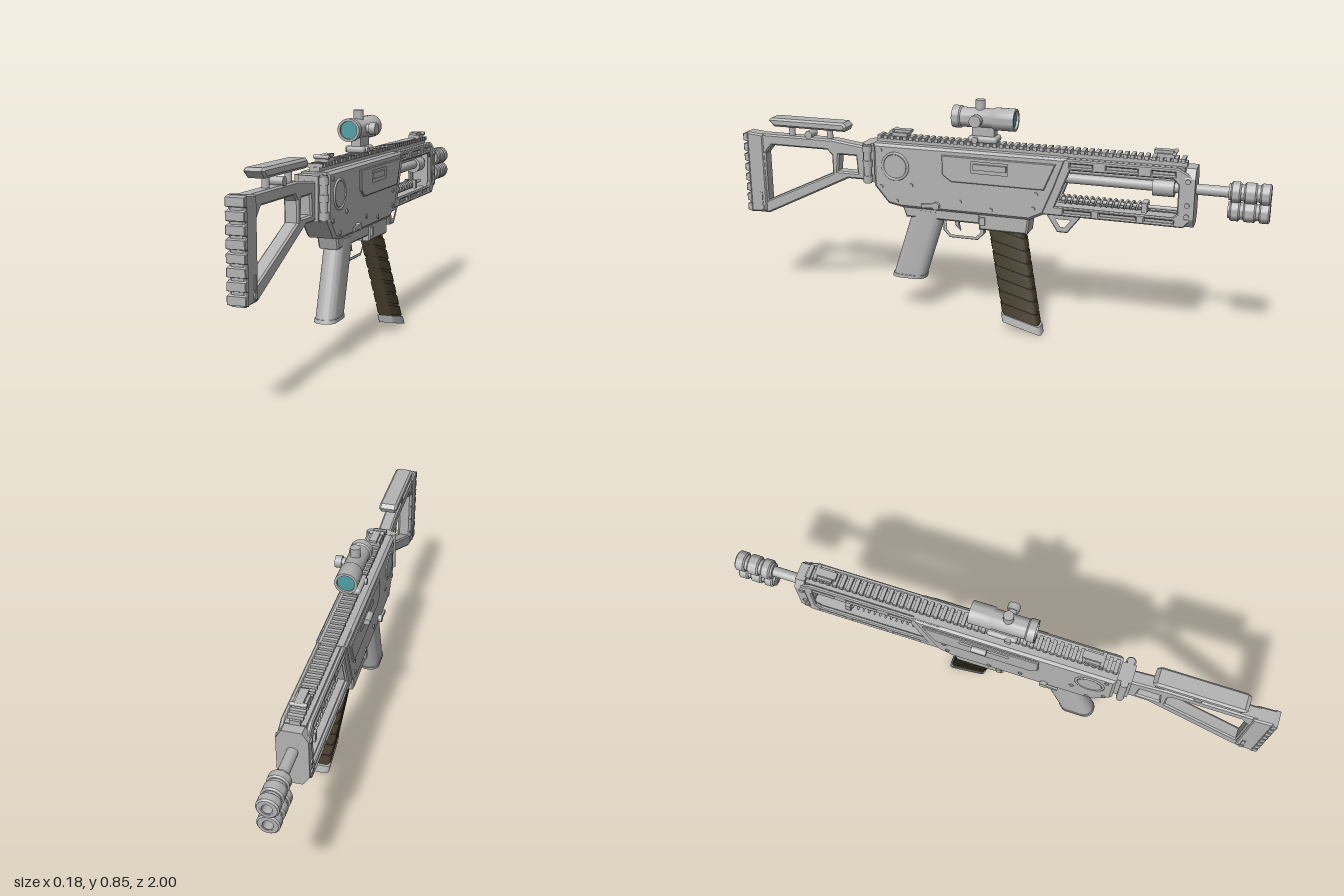
import * as THREE from 'three';
import { toCreasedNormals } from 'three/addons/utils/BufferGeometryUtils.js';
import { RoundedBoxGeometry } from 'three/addons/geometries/RoundedBoxGeometry.js';

const CX = -0.01; // centre plane of the body
const mat = (name, color) => Object.assign(new THREE.MeshStandardMaterial({ color }), { name });

export function createModel() {
  const root = new THREE.Group();
  root.name = 'carbineProp';
  const grey = mat('bodyGrey', 0xb3b3b3);
  const brown = mat('darkBrown', 0x453d2b);
  const teal = mat('lensTeal', 0x4f9fa3);

  const add = (name, geo, x = 0, y = 0, z = 0, m = grey) => {
    const mesh = new THREE.Mesh(geo, m);
    mesh.name = name;
    mesh.position.set(x, y, z);
    root.add(mesh);
    return mesh;
  };
  const box = (name, w, h, d, x, y, z) => add(name, new THREE.BoxGeometry(w, h, d), x, y, z);
  // Cylinder along a chosen axis
  const cyl = (name, axis, r, len, x, y, z, m = grey, r2 = r, n = 24) => {
    const g = new THREE.CylinderGeometry(r, r2, len, n);
    if (axis === 'x') g.rotateZ(-Math.PI / 2);
    if (axis === 'z') g.rotateX(Math.PI / 2);
    return add(name, g, x, y, z, m);
  };
  // Hollow round part along z, from a closed [radius, z] profile
  const turned = (name, pts, x, y, z) => {
    const g = new THREE.LatheGeometry(pts.map(p => new THREE.Vector2(p[0], p[1])), 28);
    return add(name, toCreasedNormals(g.rotateX(Math.PI / 2), 0.6), x, y, z);
  };
  // Side-profile plate: [z, y] outline extruded across x
  const plate = (name, pts, holes, width, x, bevel = 0.006) => {
    const v = a => a.map(p => new THREE.Vector2(p[0], p[1]));
    const shape = new THREE.Shape(v(pts));
    holes.forEach(h => shape.holes.push(new THREE.Path(v(h))));
    const g = new THREE.ExtrudeGeometry(shape, {
      depth: width - 2 * bevel, bevelEnabled: bevel > 0, bevelSize: bevel,
      bevelThickness: bevel, bevelOffset: -bevel, bevelSegments: 1,
    });
    g.translate(0, 0, bevel - width / 2).rotateY(-Math.PI / 2);
    return add(name, g, x);
  };
  const rect = (z0, y0, z1, y1) => [[z0, y0], [z1, y0], [z1, y1], [z0, y1]];
  // Rounded column from yTop to yBot, centre drifting by kx, kz per unit dropped, ends tilted by slope
  const column = (name, w, d, r, yTop, yBot, x0, z0, yRef, kx, kz, slope, m) => {
    const s = new THREE.Shape(), a = w / 2 - r, b = d / 2 - r;
    s.absarc(a, b, r, 0, Math.PI / 2);
    s.absarc(-a, b, r, Math.PI / 2, Math.PI);
    s.absarc(-a, -b, r, Math.PI, Math.PI * 1.5);
    s.absarc(a, -b, r, Math.PI * 1.5, Math.PI * 2);
    const g = new THREE.ExtrudeGeometry(s, { depth: yTop - yBot, bevelEnabled: false, curveSegments: 8 });
    g.rotateX(Math.PI / 2).translate(0, yTop, 0);
    const p = g.attributes.position;
    for (let i = 0; i < p.count; i++) {
      const drop = yRef - p.getY(i), z = p.getZ(i);
      p.setXYZ(i, p.getX(i) + x0 + drop * kx, p.getY(i) + z * slope, z + z0 + drop * kz);
    }
    return add(name, toCreasedNormals(g, 0.6), 0, 0, 0, m);
  };

  // Receiver and lower housing
  plate('receiver', [[0.44, 0.67], [0.44, 0.505], [0.385, 0.44], [0.33, 0.43], [-0.165, 0.43],
    [-0.22, 0.457], [-0.262, 0.56], [-0.3, 0.67]], [], 0.108, CX, 0.01);
  plate('lowerHousing', [[0.34, 0.45], [0.32, 0.39], [0, 0.39], [0, 0.45]], [], 0.076, CX);
  plate('magazineWell', [[0.035, 0.45], [0.03, 0.37], [-0.155, 0.37], [-0.165, 0.45]], [], 0.086, CX);

  // Skeleton handguard
  const slots = [[-0.29, -0.39], [-0.42, -0.55], [-0.58, -0.68]];
  for (const s of [-1, 1]) {
    plate('handguardSide', [[-0.2, 0.668], [-0.69, 0.668], [-0.745, 0.638], [-0.745, 0.49], [-0.715, 0.457], [-0.2, 0.457]],
      [[[-0.312, 0.628], [-0.675, 0.628], [-0.692, 0.61], [-0.692, 0.505], [-0.675, 0.49], [-0.258, 0.49]],
        ...slots.map(([a, b]) => rect(a, 0.467, b, 0.479)),
        ...slots.map(([a, b]) => rect(a - 0.02, 0.64, b, 0.652))], 0.016, CX + s * 0.043, 0.004);
  }
  box('handguardTop', 0.07, 0.035, 0.47, CX, 0.65, -0.475);
  box('handguardFloor', 0.07, 0.022, 0.47, CX, 0.47, -0.475);
  const cap = new THREE.Shape([[-0.053, 0.49], [-0.03, 0.457], [0.03, 0.457], [0.053, 0.49],
    [0.053, 0.635], [0.033, 0.668], [-0.033, 0.668], [-0.053, 0.635]].map(p => new THREE.Vector2(...p)));
  add('handguardCap', new THREE.ExtrudeGeometry(cap, { depth: 0.035, bevelEnabled: false }), CX, 0, -0.749);
  for (const s of [-1, 1]) for (const y of [0.5, 0.54, 0.625])
    cyl('capScrew', 'x', 0.009, 0.008, CX + s * 0.054, y, -0.725);

  // Barrel, gas system and return spring
  cyl('barrel', 'z', 0.019, 0.72, CX, 0.587, -0.53);
  cyl('gasBlock', 'z', 0.031, 0.075, CX, 0.583, -0.637);
  cyl('gasRod', 'z', 0.01, 0.42, CX, 0.615, -0.48);
  cyl('springGuide', 'z', 0.007, 0.42, CX, 0.508, -0.48);
  box('springStop', 0.05, 0.035, 0.02, CX, 0.508, -0.575);
  const coil = [];
  for (let i = 0; i <= 168; i++) {
    const a = i / 12 * Math.PI * 2;
    coil.push(new THREE.Vector3(Math.cos(a) * 0.015, Math.sin(a) * 0.015, -0.27 - 0.3 * i / 168));
  }
  add('returnSpring', new THREE.TubeGeometry(new THREE.CatmullRomCurve3(coil), 336, 0.004, 6), CX, 0.508, 0);

  // Twin ringed muzzle brake
  for (const y of [0.589, 0.524]) {
    turned('muzzleTube', [[0.017, -0.07], [0.029, -0.07], [0.029, 0.07], [0.017, 0.07], [0.017, -0.07]], CX, y, -0.929);
    for (const [z, len] of [[-0.982, 0.036], [-0.932, 0.042], [-0.883, 0.034]]) {
      const h = len / 2;
      turned('muzzleRing', [[0.021, -h], [0.032, -h], [0.037, 0.005 - h], [0.037, h - 0.005], [0.032, h], [0.021, h], [0.021, -h]], CX, y, z);
    }
    cyl('muzzlePlug', 'z', 0.018, 0.1, CX, y, -0.91);
  }

  // Toothed top rail and folded sights
  box('railBase', 0.036, 0.02, 1.15, CX, 0.674, -0.14);
  for (let i = 0; i < 46; i++) box('railTooth', 0.052, 0.014, 0.014, CX, 0.689, 0.425 - i * 0.025);
  for (const [z, s] of [[0.345, 1], [-0.64, -1]]) {
    box('sightBase', 0.046, 0.014, 0.06, CX, 0.702, z);
    box('sightLeaf', 0.028, 0.01, 0.075, CX, 0.714, z - s * 0.005);
    cyl('sightPin', 'x', 0.007, 0.056, CX, 0.712, z + s * 0.03);
  }

  // Optic: mount, hollow tube, lenses and turrets
  const SY = 0.783, SZ = 0.018;
  add('opticClamp', new RoundedBoxGeometry(0.07, 0.024, 0.11, 2, 0.01), CX, 0.708, 0.02);
  box('opticPost', 0.038, 0.045, 0.085, CX, 0.735, 0.02);
  turned('opticTube', [[0.032, -0.117], [0.041, -0.117], [0.041, -0.04], [0.036, -0.032], [0.036, 0.085],
    [0.041, 0.09], [0.041, 0.117], [0.032, 0.117], [0.032, -0.117]], CX, SY, SZ);
  for (const s of [-1, 1]) {
    const lens = add('lens', new THREE.CircleGeometry(0.034, 28), CX, SY, SZ + s * 0.108, teal);
    if (s < 0) lens.rotation.y = Math.PI;
  }
  cyl('topTurret', 'y', 0.018, 0.04, CX, 0.83, 0.035);
  cyl('sideTurretStem', 'x', 0.016, 0.03, 0.032, SY, 0.035);
  cyl('sideTurret', 'x', 0.022, 0.024, 0.048, SY, 0.035);
  cyl('clampKnob', 'x', 0.012, 0.085, CX, 0.708, 0.045);

  // Receiver side details
  const panel = [[0.165, 0.648], [0.165, 0.575], [0.13, 0.55], [-0.22, 0.55], [-0.262, 0.648]];
  for (const s of [-1, 1]) {
    const X = CX + s * 0.054;
    plate('sidePanel', panel, s > 0 ? [rect(0.055, 0.588, -0.09, 0.637)] : [rect(0.06, 0.607, -0.13, 0.63)], 0.01, X + s * 0.003, 0.003);
    const ring = add('pivotRing', new THREE.TorusGeometry(0.05, 0.005, 8, 32), X, 0.588, 0.352);
    ring.rotation.y = Math.PI / 2;
    cyl('pivotDisc', 'x', 0.044, 0.006, X, 0.588, 0.352);
    for (const [z, y] of [[0.41, 0.505], [0.35, 0.455], [0.29, 0.52], [0.1, 0.475], [-0.02, 0.455], [-0.18, 0.475], [0.41, 0.645], [-0.19, 0.53]])
      cyl('bodyPin', 'x', 0.008, 0.006, X + s * 0.001, y, z, grey, 0.008, 12);
    // Fire selector
    cyl('selectorHub', 'x', 0.014, 0.02, X + s * 0.004, 0.452, 0.19);
    const lever = box('selectorLever', 0.008, 0.014, 0.06, X + s * 0.01, 0.452, 0.215);
    lever.rotation.x = 0.1;
    box('magazineRelease', 0.012, 0.03, 0.02, CX + s * 0.044, 0.405, 0.015);
  }
  box('portCover', 0.012, 0.022, 0.125, 0.046, 0.613, -0.017);
  cyl('chargingStem', 'x', 0.007, 0.03, -0.072, 0.62, -0.05);
  cyl('chargingKnob', 'z', 0.012, 0.055, -0.08, 0.62, -0.05);

  // Grip, trigger and guard
  column('grip', 0.074, 0.13, 0.034, 0.42, 0.152, -0.008, 0.24, 0.4, 0, 0.32, 0, grey);
  column('gripCap', 0.08, 0.136, 0.036, 0.156, 0.143, -0.008, 0.24, 0.4, 0, 0.32, 0, grey);
  plate('triggerGuard', [[0.18, 0.4], [0.18, 0.345], [0.155, 0.318], [0.045, 0.318], [0.018, 0.345], [0.018, 0.4]],
    [[[0.168, 0.392], [0.168, 0.349], [0.15, 0.328], [0.05, 0.328], [0.03, 0.349], [0.03, 0.392]]], 0.026, CX, 0.002);
  plate('trigger', [[0.14, 0.395], [0.133, 0.365], [0.114, 0.346], [0.12, 0.37], [0.118, 0.395]], [], 0.014, CX, 0.002);

  // Leaning magazine with raised bands and a floor plate
  const mag = (name, w, d, top, bot, m) => column(name, w, d, 0.014, top, bot, 0, -0.072, 0.38, 0.158, -0.22, 0.26, m);
  mag('magazineBody', 0.05, 0.136, 0.42, 0.04, brown);
  for (let i = 0; i < 7; i++) mag('magazineBand', 0.055, 0.142, 0.368 - i * 0.046, 0.332 - i * 0.046, brown);
  mag('magazineFloorPlate', 0.06, 0.15, 0.05, 0.02, grey);

  // Triangular hand stop
  plate('handStop', [[-0.215, 0.458], [-0.262, 0.385], [-0.3, 0.385], [-0.355, 0.458]],
    [[[-0.25, 0.438], [-0.272, 0.403], [-0.293, 0.403], [-0.318, 0.438]]], 0.044, CX, 0.004);

  // Hinge block
  box('hingeBlock', 0.07, 0.15, 0.05, CX, 0.588, 0.465);
  for (const x of [-0.052, 0.035]) cyl('hingePin', 'y', 0.014, 0.15, x, 0.588, 0.467);
  for (const y of [0.53, 0.588, 0.645]) cyl('hingeBand', 'y', 0.018, 0.025, 0.035, y, 0.467);

  // Skeleton stock
  plate('stockFrame', [[0.99, 0.662], [0.62, 0.662], [0.485, 0.645], [0.485, 0.515], [0.56, 0.515], [0.91, 0.343], [0.99, 0.343]],
    [[[0.91, 0.585], [0.88, 0.62], [0.645, 0.62], [0.625, 0.6], [0.625, 0.53], [0.91, 0.395]],
      [[0.595, 0.605], [0.525, 0.605], [0.52, 0.54], [0.602, 0.54]]], 0.05, CX, 0.006);
  plate('buttBlock', [[0.985, 0.667], [0.915, 0.66], [0.915, 0.35], [0.985, 0.342]], [], 0.058, CX, 0.006);
  for (let i = 0; i < 8; i++)
    plate('buttRidge', [[0.98, 0.344 + i * 0.0405], [1, 0.35 + i * 0.0405], [1, 0.376 + i * 0.0405], [0.98, 0.382 + i * 0.0405]], [], 0.062, CX, 0.002);
  cyl('slingPin', 'x', 0.011, 0.066, CX, 0.367, 0.938);
  box('slingSlot', 0.064, 0.045, 0.012, CX, 0.405, 0.938);

  // Cheek rest on two posts
  plate('cheekRest', [[0.885, 0.72], [0.872, 0.73], [0.57, 0.73], [0.556, 0.715], [0.565, 0.697], [0.86, 0.697]], [], 0.07, CX, 0.008);
  for (const z of [0.8, 0.64]) cyl('cheekPost', 'y', 0.012, 0.05, CX, 0.678, z);
  cyl('cheekKnob', 'x', 0.015, 0.05, CX, 0.673, 0.72);

  return root;
}
